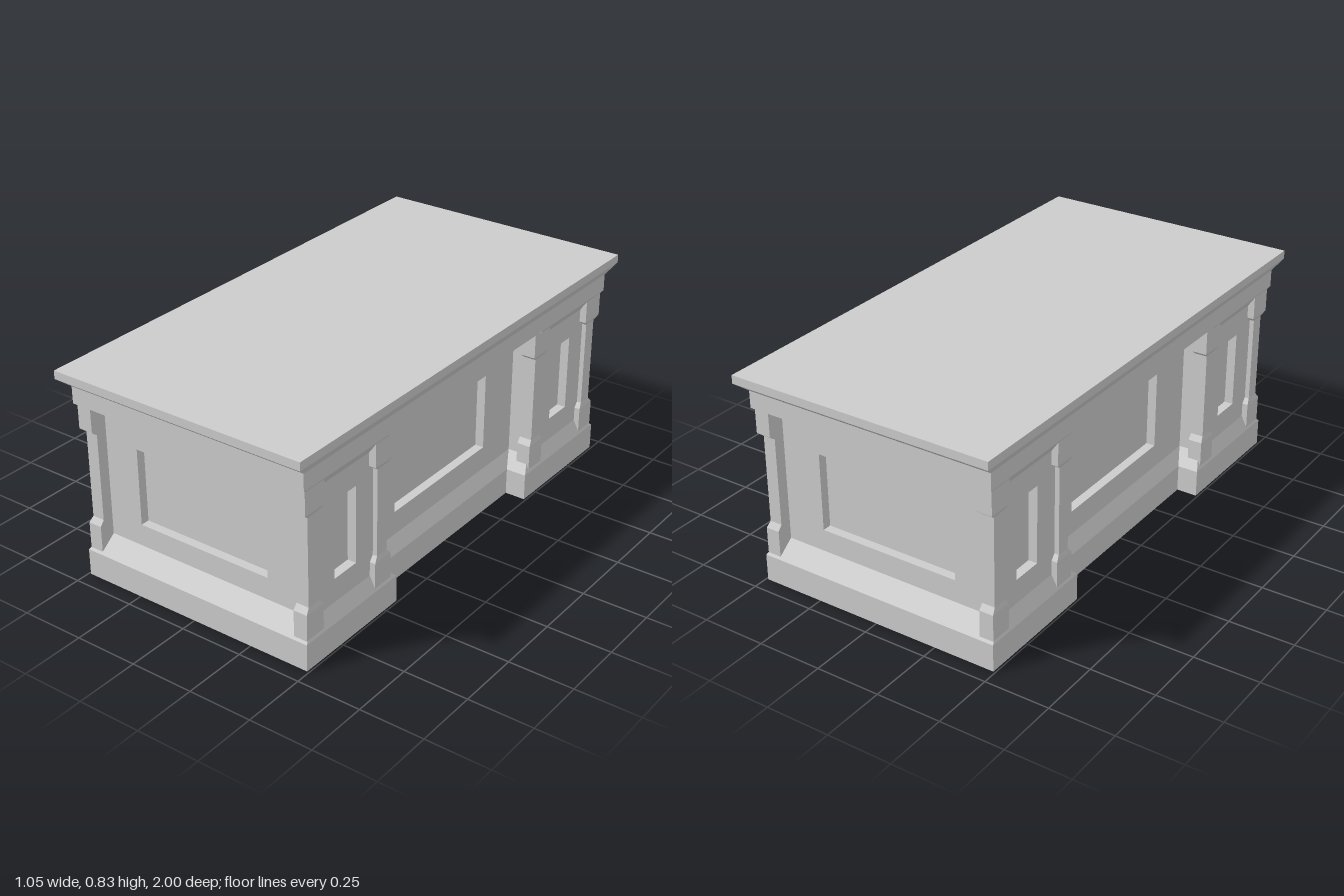
import * as THREE from 'three';

const material = new THREE.MeshStandardMaterial({ color: 0xcccccc, flatShading: true });

// Counter-clockwise (x, z) outlines: a plain rectangle, and one with a notch in each long side
const rect = (x0, x1, z0, z1) => [[x1, z0], [x1, z1], [x0, z1], [x0, z0]];
const notched = (x, z, rx, rz) => [
  [x, -z], [x, -rz], [rx, -rz], [rx, rz], [x, rz], [x, z],
  [-x, z], [-x, rz], [-rx, rz], [-rx, -rz], [-x, -rz], [-x, -z],
];

// Joins stacked outlines [y, outline] with flat faces, closing the ends on request
function loft(name, rings, capBottom = true, capTop = true) {
  const pos = [];
  const put = (ring, i) => pos.push(ring[1][i][0], ring[0], ring[1][i][1]);
  for (let r = 0; r < rings.length - 1; r++) {
    const lo = rings[r], hi = rings[r + 1], n = lo[1].length;
    for (let i = 0; i < n; i++) {
      const j = (i + 1) % n;
      put(lo, j); put(lo, i); put(hi, i);
      put(lo, j); put(hi, i); put(hi, j);
    }
  }
  const cap = (ring, up) => {
    const pts = ring[1].map(([x, z]) => new THREE.Vector2(x, z));
    for (const [a, b, c] of THREE.ShapeUtils.triangulateShape(pts, [])) {
      for (const i of up ? [a, c, b] : [a, b, c]) put(ring, i);
    }
  };
  if (capBottom) cap(rings[0], false);
  if (capTop) cap(rings[rings.length - 1], true);
  const geo = new THREE.BufferGeometry();
  geo.setAttribute('position', new THREE.Float32BufferAttribute(pos, 3));
  geo.computeVertexNormals();
  const mesh = new THREE.Mesh(geo, material);
  mesh.name = name;
  return mesh;
}

const DEPTH = 0.035;               // depth of the sunken panels
const BODY = [0.464, 0.87, 0.38, 0.485];

// Wall from u0 to u1 with an opening [left, right, bottom, top]; outer face at local z = DEPTH
function panelFrame(name, u0, u1, opening) {
  const box = (path, a, b, c, d) =>
    path.moveTo(a, c).lineTo(b, c).lineTo(b, d).lineTo(a, d).closePath();
  const shape = box(new THREE.Shape(), u0, u1, 0.12, 0.68);
  shape.holes.push(box(new THREE.Path(), ...opening));
  const geo = new THREE.ExtrudeGeometry(shape, { depth: DEPTH, bevelEnabled: false });
  const mesh = new THREE.Mesh(geo, material);
  mesh.name = name;
  return mesh;
}

// Square pilaster with a wider foot and capital
function post(name, side, z) {
  const section = [
    [0.1, 0.487, 0.045], [0.215, 0.487, 0.045], [0.236, 0.482, 0.028],
    [0.578, 0.482, 0.028], [0.596, 0.491, 0.051], [0.697, 0.491, 0.051],
  ];
  return loft(name, section.map(([y, x, h]) => [
    y, side > 0 ? rect(0.432, x, z - h, z + h) : rect(-x, -0.432, z - h, z + h),
  ]));
}

export function createModel() {
  const desk = new THREE.Group();
  desk.name = 'desk';

  // Stepped plinth sloping in to the body
  const foot = notched(0.492, 0.94, 0.41, 0.428);
  desk.add(loft('plinth', [[0, foot], [0.105, foot], [0.16, notched(...BODY)]], true, false));

  // Inner core that forms the backs of the sunken panels
  const core = notched(BODY[0] - DEPTH, BODY[1] - DEPTH, BODY[2] - DEPTH, BODY[3]);
  desk.add(loft('bodyCore', [[0.1, core], [0.69, core]]));

  // Sloped moulding from the body out to the cornice
  desk.add(loft('underMoulding', [
    [0.648, notched(...BODY)], [0.697, notched(0.498, 0.95, 0.498, BODY[3])],
  ], false, false));

  // Cornice and table top
  const layer = (y, x, z) => [y, rect(-x, x, -z, z)];
  desk.add(loft('cornice', [
    layer(0.697, 0.498, 0.95), layer(0.763, 0.498, 0.95), layer(0.803, 0.524, 1),
  ], true, false));
  desk.add(loft('tableTop', [layer(0.803, 0.524, 1), layer(0.835, 0.524, 1)], false, true));

  // Panelled end walls
  for (const s of [1, -1]) {
    const shift = -0.0075 * s;
    const end = panelFrame(s > 0 ? 'frontPanel' : 'backPanel', -BODY[0], BODY[0],
      [shift - 0.283, shift + 0.283, 0.247, 0.549]);
    end.rotation.y = s > 0 ? 0 : Math.PI;
    end.position.z = s * (BODY[1] - DEPTH);
    desk.add(end);
  }

  // Panelled long sides: recessed centre, two pedestals and four posts each
  const inner = BODY[3], outer = BODY[1] - DEPTH;
  for (const s of [1, -1]) {
    const label = s > 0 ? 'left' : 'right';
    const wall = (part, x, u0, u1, centre, half) => {
      const c = centre + 0.005 * s;
      const mesh = panelFrame(label + part, u0, u1, [c - half, c + half, 0.253, 0.555]);
      mesh.rotation.y = s * Math.PI / 2;
      mesh.position.x = s * (x - DEPTH);
      desk.add(mesh);
    };
    wall('CentrePanel', BODY[2], -inner, inner, 0, 0.29);
    wall('PedestalPanelA', BODY[0], inner, outer, 0.695, 0.061);
    wall('PedestalPanelB', BODY[0], -outer, -inner, -0.695, 0.061);
    for (const t of [1, -1]) {
      desk.add(post(label + 'CornerPost', s, t * 0.886));
      desk.add(post(label + 'InnerPost', s, t * 0.505));
    }
  }
  return desk;
}
